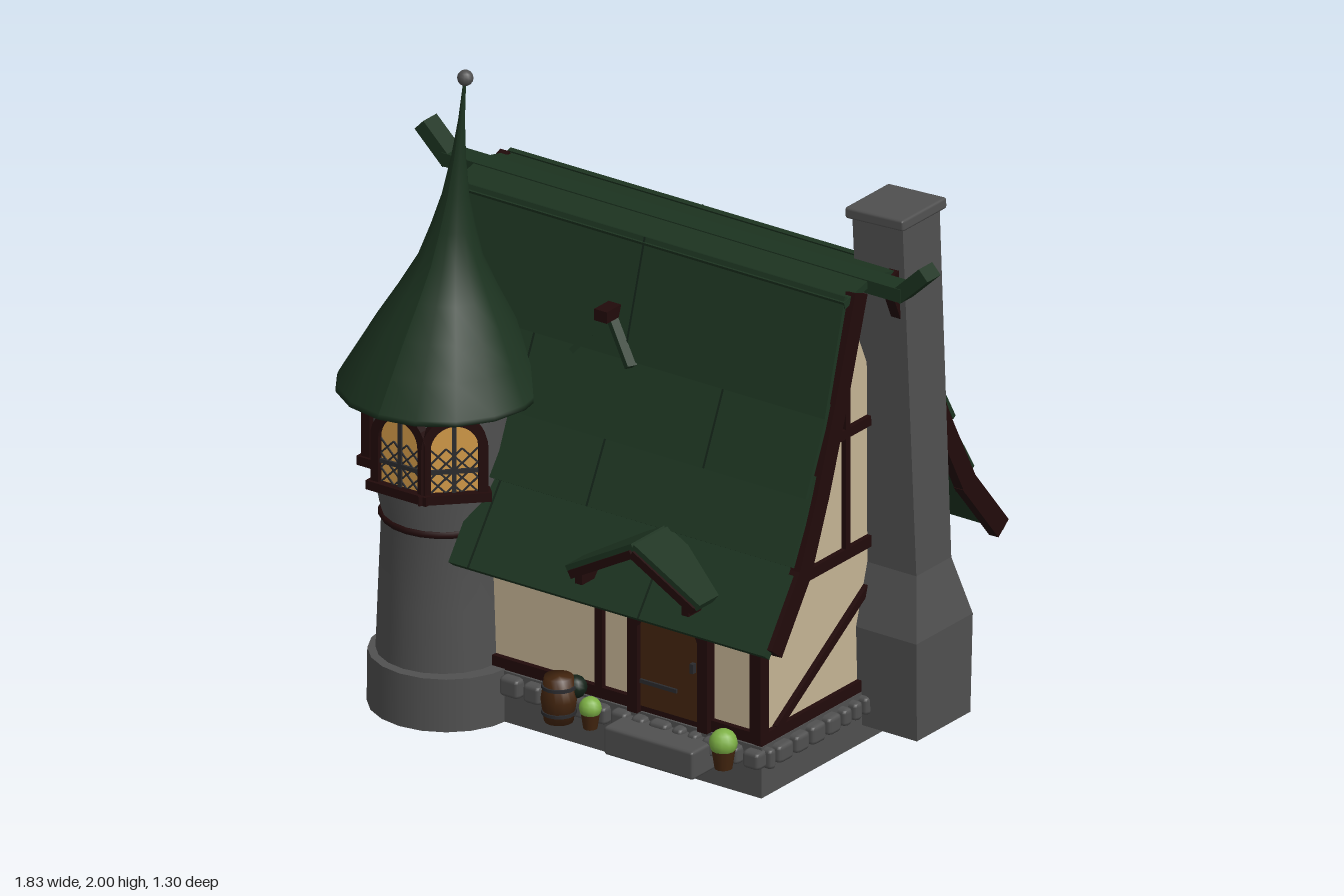
import * as THREE from 'three';
import { RoundedBoxGeometry } from 'three/addons/geometries/RoundedBoxGeometry.js';

const V = (x, y, z) => new THREE.Vector3(x, y, z);
const RIDGE_Z = -0.06;

export function createModel() {
  const root = new THREE.Group();
  const mat = (name, color) => Object.assign(new THREE.MeshStandardMaterial({ color }), { name });
  const roofGreen = mat('roofGreen', 0x1c3320), seamGreen = mat('seamGreen', 0x122116);
  const stone = mat('stone', 0x505050), plaster = mat('plaster', 0xc5b494);
  const timber = mat('timber', 0x210a0a), wood = mat('wood', 0x43250f);
  const glow = mat('windowGlow', 0xd29a48), leaf = mat('leaf', 0x7db045), iron = mat('iron', 0x2b2b2e);

  const add = (name, geo, material, parent = root, x = 0, y = 0, z = 0) => {
    const m = new THREE.Mesh(geo, material);
    m.name = name;
    m.position.set(x, y, z);
    parent.add(m);
    return m;
  };
  const box = (name, material, w, h, d, x, y, z, parent = root) =>
    add(name, new THREE.BoxGeometry(w, h, d), material, parent, x, y, z);
  // Bar from a to b: width w in the wall plane, depth t along the normal n
  const bar = (name, material, a, b, w, t, n, parent = root) => {
    const dir = b.clone().sub(a), len = dir.length();
    dir.normalize();
    const side = n.clone().cross(dir).normalize();
    const up = dir.clone().cross(side);
    const m = box(name, material, w, t, len, 0, 0, 0, parent);
    m.quaternion.setFromRotationMatrix(new THREE.Matrix4().makeBasis(side, up, dir));
    m.position.copy(a).add(b).multiplyScalar(0.5);
    return m;
  };
  const shapeOf = pts => new THREE.Shape(pts.map(p => new THREE.Vector2(...p)));
  const X = V(1, 0, 0), Z = V(0, 0, 1);
  const LEFT = -0.57, RIGHT = 0.6;

  // Foundation with a course of rounded stones
  box('foundation', stone, 1.195, 0.16, 0.84, 0.017, 0.08, -0.05);
  let seed = 7;
  const rand = () => (seed = (seed * 16807) % 2147483647) / 2147483647;
  const stoneRow = (from, to, place) => {
    for (let p = from; p < to - 0.03;) {
      const w = Math.min(0.05 + rand() * 0.04, to - p), h = 0.055 + rand() * 0.012;
      place(p + w / 2, w - 0.014, h);
      p += w;
    }
  };
  for (const s of [-1, 1]) {
    stoneRow(-0.6, 0.65, (p, w, h) => add('footingStone', new RoundedBoxGeometry(w, h, 0.06, 1, 0.014), stone, root, p, 0.123, -0.05 + s * 0.42));
    stoneRow(-0.47, 0.37, (p, w, h) => add('footingStone', new RoundedBoxGeometry(0.06, h, w, 1, 0.014), stone, root, s > 0 ? 0.615 : -0.58, 0.123, p));
  }
  add('doorStep', new RoundedBoxGeometry(0.32, 0.09, 0.14, 1, 0.01), stone, root, 0.29, 0.095, 0.41);

  // Plastered walls with flared gable
  const half = [[0.4, 0.16], [0.4, 0.62], [0.29, 0.8], [0.19, 1.0], [0.09, 1.23], [0, 1.43]];
  const outline = [...half, ...half.slice(0, -1).reverse().map(([a, b]) => [-a, b])];
  const walls = add('walls', new THREE.ExtrudeGeometry(shapeOf(outline), { depth: RIGHT - LEFT, bevelEnabled: false }), plaster, root, LEFT, 0, -0.05);
  walls.rotation.y = Math.PI / 2;

  // Timber frame on both gable ends
  for (const x of [LEFT - 0.003, RIGHT + 0.003]) {
    const g = (z0, y0, z1, y1, w) => bar('gableTimber', timber, V(x, y0, z0), V(x, y1, z1), w, 0.025, X);
    g(0.37, 0.18, -0.47, 0.18, 0.035);
    g(0.37, 0.62, -0.47, 0.62, 0.035);
    g(0.16, 1.0, -0.26, 1.0, 0.03);
    g(-0.05, 0.62, -0.05, 1.42, 0.022);
    if (x > 0) g(0.29, 0.19, -0.22, 0.52, 0.025);
    for (const z of [0.355, -0.455]) box('cornerPost', timber, 0.04, 0.46, 0.04, x - Math.sign(x) * 0.008, 0.4, z);
  }
  // Timber frame on front and back
  for (const [z, post] of [[0.355, 0.03], [-0.455, 0]]) {
    for (const y of [0.18, 0.61]) bar('wallTimber', timber, V(LEFT, y, z), V(RIGHT, y, z), 0.035, 0.025, Z);
    bar('wallTimber', timber, V(post, 0.18, z), V(post, 0.62, z), 0.028, 0.025, Z);
  }
  bar('backBrace', timber, V(0.04, 0.56, -0.455), V(0.54, 0.2, -0.455), 0.025, 0.02, Z);

  // Door with frame, straps and lanterns
  box('door', wood, 0.22, 0.32, 0.02, 0.29, 0.34, 0.36);
  for (const s of [-1, 1]) {
    bar('doorFrame', timber, V(0.29 + s * 0.125, 0.16, 0.365), V(0.29 + s * 0.125, 0.46, 0.365), 0.035, 0.045, Z);
    bar('doorFrame', timber, V(0.29 + s * 0.125, 0.44, 0.365), V(0.29 + s * 0.09, 0.52, 0.365), 0.035, 0.045, Z);
    box('lanternArm', iron, 0.012, 0.012, 0.08, 0.275 + s * 0.195, 0.545, 0.39);
    box('lantern', glow, 0.018, 0.022, 0.018, 0.275 + s * 0.195, 0.517, 0.42);
    box('lanternCap', iron, 0.028, 0.012, 0.028, 0.275 + s * 0.195, 0.534, 0.42);
    box('lanternBase', iron, 0.026, 0.008, 0.026, 0.275 + s * 0.195, 0.502, 0.42);
  }
  box('doorLintel', timber, 0.25, 0.035, 0.045, 0.29, 0.51, 0.365);
  for (const y of [0.26, 0.46]) box('doorStrap', iron, 0.13, 0.012, 0.008, 0.25, y, 0.373);
  box('doorHandle', iron, 0.012, 0.03, 0.02, 0.375, 0.35, 0.375);

  // Arched window: pane, frame, mullions, lattice, sill and optional shutters
  const arch = (w, h, P) => {
    const p = new P(), r = w / 2;
    p.moveTo(-r, 0);
    p.lineTo(r, 0);
    p.lineTo(r, h - r);
    p.absarc(0, h - r, r, 0, Math.PI, false);
    p.lineTo(-r, 0);
    return p;
  };
  const windowAt = (pos, turn, { pane, shutters, scale = 1 }) => {
    const g = new THREE.Group();
    g.name = 'archedWindow';
    g.position.copy(pos);
    g.rotation.y = turn;
    g.scale.set(scale, scale, 1);
    root.add(g);
    const w = 0.14, h = 0.22;
    add('windowPane', new THREE.ExtrudeGeometry(arch(w, h, THREE.Shape), { depth: 0.005, bevelEnabled: false, curveSegments: 8 }), pane, g, 0, 0, 0.004);
    const frame = arch(w + 0.056, h + 0.028, THREE.Shape);
    frame.holes.push(arch(w, h, THREE.Path));
    add('windowFrame', new THREE.ExtrudeGeometry(frame, { depth: 0.03, bevelEnabled: false, curveSegments: 8 }), timber, g, 0, 0, -0.005);
    box('windowSill', timber, w + 0.075, 0.028, 0.05, 0, -0.005, 0.01, g);
    box('mullion', iron, 0.013, h, 0.008, 0, h / 2, 0.014, g);
    box('transom', iron, w, 0.013, 0.008, 0, 0.075, 0.014, g);
    for (let i = 0; i < 3; i++) for (let j = 0; j < 3; j++) for (const s of [-1, 1]) {
      const cx = (i - 1) * w / 3, cy = 0.03 + j * 0.046;
      bar('lattice', iron, V(cx - s * 0.023, cy - 0.023, 0.012), V(cx + s * 0.023, cy + 0.023, 0.012), 0.005, 0.004, Z, g);
    }
    if (shutters) for (const s of [-1, 1]) {
      box('shutter', wood, 0.075, 0.19, 0.018, s * 0.135, 0.1, 0.012, g);
      for (const y of [0.04, 0.16]) box('shutterStrap', iron, 0.07, 0.012, 0.004, s * 0.135, y, 0.023, g);
    }
  };
  windowAt(V(-0.26, 0.31, -0.452), Math.PI, { pane: plaster, shutters: true });
  windowAt(V(LEFT - 0.002, 0.31, -0.11), -Math.PI / 2, { pane: plaster, shutters: true, scale: 1.2 });

  // Roof edge leans outward toward the eaves
  const edge = (s, y) => s > 0 ? 0.70 + (1.5 - y) * 0.045 : -0.70 + (1.5 - y) * 0.035;
  // Sloped slab: u runs along the ridge, top and bottom are [distance from ridge, y]
  const slab = (name, material, s, u0, u1, top, bot, thick, lift = 0) => {
    const geo = new THREE.BoxGeometry(1, 1, 1), p = geo.attributes.position;
    const dd = bot[0] - top[0], dy = top[1] - bot[1], L = Math.hypot(dd, dy);
    for (let i = 0; i < p.count; i++) {
      const k = p.getX(i) * s + 0.5, v = p.getY(i) + 0.5, off = (p.getZ(i) - 0.5) * thick + lift;
      const u = u0 + (u1 - u0) * k;
      const d = bot[0] - dd * v + off * dy / L, y = bot[1] + dy * v + off * dd / L;
      p.setXYZ(i, edge(-1, y) + (edge(1, y) - edge(-1, y)) * u, y, RIDGE_Z + s * d);
    }
    geo.computeVertexNormals();
    return add(name, geo, material);
  };
  // Shingle rows; the lowest front row stops at the tower
  const rows = [
    { top: [0.14, 1.5], bot: [0.26, 1.16], cuts: [0.49], thick: 0.014 },
    { top: [0.235, 1.2], bot: [0.365, 0.95], cuts: [0.26, 0.74], thick: 0.014 },
    { top: [0.31, 1.0], bot: [0.445, 0.765], cuts: [0.48], thick: 0.014 },
    { top: [0.385, 0.8], bot: [0.592, 0.54], cuts: [0.25, 0.68], thick: 0.03 },
  ];
  for (const s of [-1, 1]) {
    rows.forEach((r, i) => {
      slab('roofRow', roofGreen, s, s > 0 && i === 3 ? 0.2 : 0, 1, r.top, r.bot, r.thick);
      for (const c of r.cuts) slab('roofSeam', seamGreen, s, c - 0.002, c + 0.002, r.top, r.bot, 0.004, 0.002);
    });
    // Barge boards on both gable ends, shorter where the tower stands
    for (const e of [-1, 1]) {
      const line = [[0.085, 1.48], [0.2, 1.18], [0.3, 0.94], [0.4, 0.73], s > 0 && e < 0 ? [0.49, 0.62] : [0.545, 0.545]];
      for (let i = 0; i < 4; i++) {
        const [a, b] = [line[i], line[i + 1]].map(([d, y]) => V(edge(e, y) - e * 0.002, y, RIDGE_Z + s * d));
        const ext = b.clone().sub(a).setLength(0.012);
        bar('bargeBoard', timber, a.sub(ext), b.add(ext), 0.064, 0.034, X);
      }
    }
    slab('ridgeFlank', roofGreen, s, -0.002, 1.002, [0.02, 1.515], [0.15, 1.485], 0.022);
    // Small decorative gablet high on each slope
    const gz = d => RIDGE_Z + s * d;
    box('gabletPeg', timber, 0.045, 0.036, 0.18, -0.07, 1.285, gz(0.19));
    for (const e of [-1, 1])
      bar('gabletSlat', roofGreen, V(-0.07, 1.275, gz(0.225)), V(-0.07 + e * 0.105, 1.15, gz(0.27)), 0.04, 0.018, V(e * 0.7, 0.7, s * 0.15));
  }

  // Ridge beam with upturned ends
  box('ridgeBeam', roofGreen, 1.64, 0.042, 0.07, 0, 1.494, RIDGE_Z);
  for (const s of [-1, 1])
    bar('ridgeHorn', roofGreen, V(s * 0.8, 1.485, RIDGE_Z), V(s * 0.9, 1.58, RIDGE_Z), 0.065, 0.045, V(-s, 1, 0));

  // Porch gable over the door
  for (const s of [-1, 1]) {
    bar('porchRoof', roofGreen, V(0.28, 0.765, 0.46), V(0.28 + s * 0.235, 0.635, 0.46), 0.165, 0.022, V(s * 0.5, 0.87, 0));
    bar('porchTrim', timber, V(0.28, 0.745, 0.535), V(0.28 + s * 0.22, 0.623, 0.535), 0.025, 0.03, Z);
    box('porchBracket', timber, 0.025, 0.04, 0.12, 0.28 + s * 0.19, 0.62, 0.485);
  }

  // Chimney: rectangular sections [y, x0, x1, z0, z1] lofted together
  const loft = sections => {
    const rings = sections.map(([y, x0, x1, z0, z1]) => [[x0, y, z1], [x1, y, z1], [x1, y, z0], [x0, y, z0]]);
    const out = [];
    const quad = (a, b, c, d) => out.push(...a, ...b, ...c, ...a, ...c, ...d);
    for (let i = 0; i < rings.length - 1; i++) for (let j = 0; j < 4; j++) {
      const k = (j + 1) % 4;
      quad(rings[i][j], rings[i][k], rings[i + 1][k], rings[i + 1][j]);
    }
    quad(...[...rings[0]].reverse());
    quad(...rings[rings.length - 1]);
    const geo = new THREE.BufferGeometry();
    geo.setAttribute('position', new THREE.Float32BufferAttribute(out, 3));
    geo.computeVertexNormals();
    return geo;
  };
  add('chimney', loft([[0.055, 0.55, 0.81, -0.38, -0.12], [0.365, 0.55, 0.815, -0.385, -0.11], [0.55, 0.6, 0.775, -0.335, -0.165], [1.63, 0.55, 0.73, -0.34, -0.16]]), stone);
  const cap = add('chimneyCap', new RoundedBoxGeometry(0.21, 0.035, 0.215, 1, 0.008), stone, root, 0.638, 1.645, -0.252);
  cap.rotation.z = 0.05;

  // Round tower
  const lathe = (pts, seg) => new THREE.LatheGeometry(pts.map(p => new THREE.Vector2(...p)), seg);
  const TX = -0.54, TZ = 0.345;
  add('towerBase', new THREE.CylinderGeometry(0.228, 0.23, 0.165, 20), stone, root, -0.528, 0.0825, TZ);
  add('towerBody', lathe([[0.195, 0.16], [0.188, 0.35], [0.178, 0.6], [0.2, 0.7], [0.2, 1.02]], 20), stone, root, TX, 0, TZ);
  const band = add('towerBand', new THREE.TorusGeometry(0.178, 0.011, 6, 24), timber, root, TX, 0.595, TZ);
  band.rotation.x = Math.PI / 2;
  for (const a of [0, Math.PI / 4, -Math.PI / 2])
    windowAt(V(TX + Math.sin(a) * 0.196, 0.735, TZ + Math.cos(a) * 0.196), a, { pane: glow });

  // Curved, leaning tower roof with finial
  const spire = lathe([[0, 1.0], [0.305, 0.985], [0.3, 1.0], [0.25, 1.1], [0.2, 1.2], [0.145, 1.3], [0.095, 1.4], [0.065, 1.5], [0.04, 1.6], [0.022, 1.72], [0.01, 1.84], [0.004, 1.97]], 16);
  const sp = spire.attributes.position;
  for (let i = 0; i < sp.count; i++) sp.setX(i, sp.getX(i) + 0.09 * (sp.getY(i) - 0.985));
  spire.computeVertexNormals();
  add('towerRoof', spire, roofGreen, root, -0.555, 0, 0.34);
  add('finial', new THREE.SphereGeometry(0.024, 12, 8), stone, root, -0.466, 1.975, 0.338);

  // Barrel, dark bush and potted plants
  add('barrel', lathe([[0, 0.1], [0.043, 0.1], [0.053, 0.17], [0.043, 0.24], [0, 0.24]], 14), wood, root, -0.05, 0, 0.45);
  for (const y of [0.13, 0.21]) add('barrelHoop', new THREE.CylinderGeometry(0.052, 0.052, 0.01, 14), iron, root, -0.05, y, 0.45);
  add('bush', new THREE.SphereGeometry(0.035, 10, 8), seamGreen, root, -0.02, 0.2, 0.41);
  for (const [x, z, k] of [[0.055, 0.44, 0.8], [0.53, 0.44, 1]]) {
    add('plantPot', new THREE.CylinderGeometry(0.036 * k, 0.026 * k, 0.065 * k, 12), wood, root, x, 0.1 + 0.0325 * k, z);
    add('plant', new THREE.SphereGeometry(0.042 * k, 12, 8), leaf, root, x, 0.1 + 0.08 * k, z);
  }
  return root;
}
